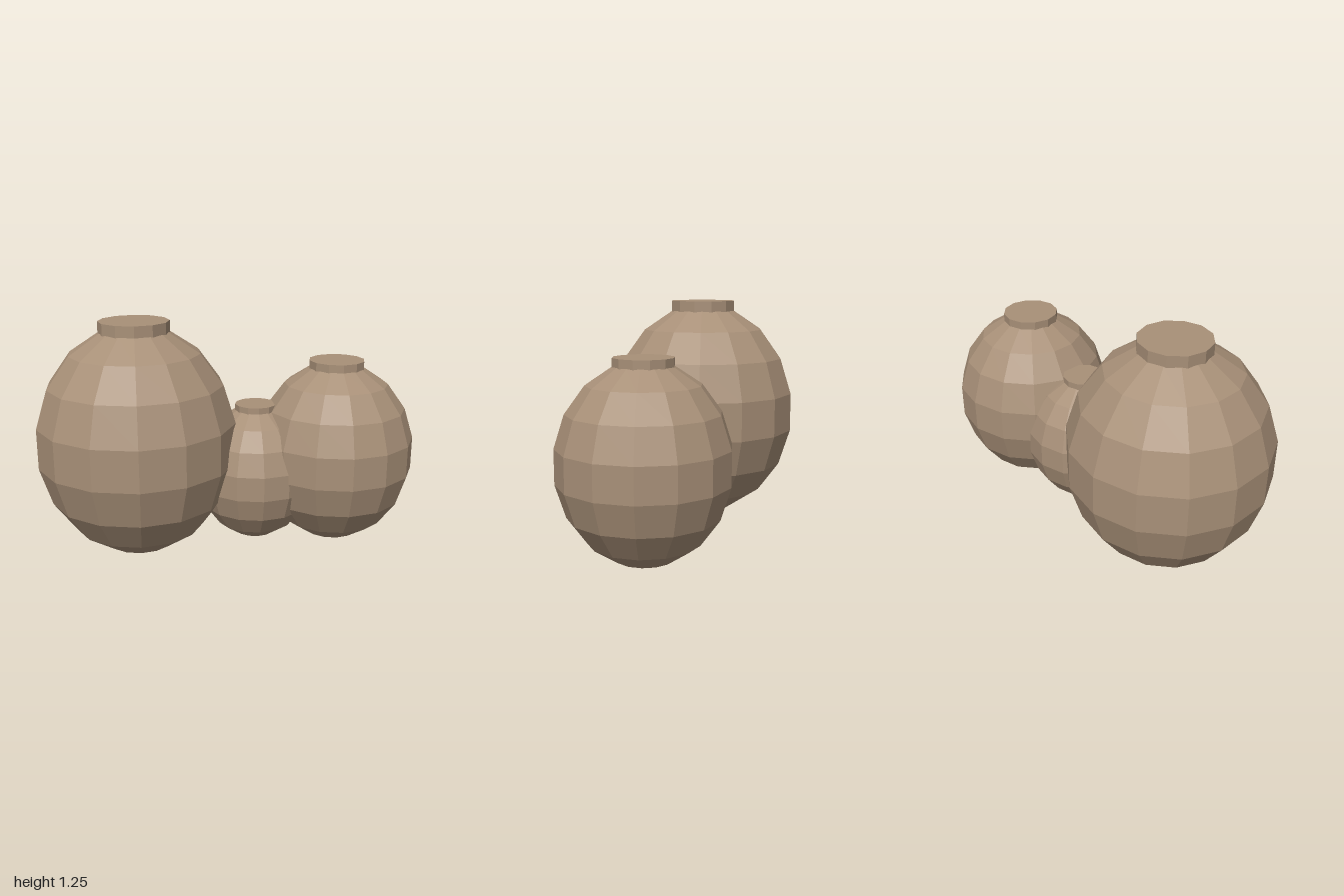
import * as THREE from 'three';

// A cluster of three low-poly jars, each an egg-shaped body with a short neck.
export function createModel() {
  const model = new THREE.Group();
  model.name = 'jarCluster';
  const clay = new THREE.MeshStandardMaterial({ color: 0xa89078, flatShading: true });

  function addJar(name, x, centerY, radius, halfHeight, neckTop) {
    const jar = new THREE.Group();
    jar.name = name;
    jar.position.x = x;

    // Faceted body, turned so that corners point to front and back
    const bodyShape = new THREE.SphereGeometry(1, 14, 9);
    bodyShape.rotateY(Math.PI / 2);
    bodyShape.scale(radius, halfHeight, radius);
    const body = new THREE.Mesh(bodyShape, clay);
    body.name = 'body';
    body.position.y = centerY;

    // Closed neck, sunk a little into the body
    const neckHeight = radius * 0.2;
    const neckRadius = radius * 0.346;
    const neck = new THREE.Mesh(
      new THREE.CylinderGeometry(neckRadius, neckRadius, neckHeight, 12), clay);
    neck.name = 'neck';
    neck.position.y = neckTop - neckHeight / 2;

    jar.add(body, neck);
    model.add(jar);
  }

  addJar('largeJar', -0.486, 0.62, 0.534, 0.616, 1.257);
  addJar('mediumJar', 0.585, 0.521, 0.43, 0.494, 1.027);
  addJar('smallJar', 0.149, 0.42, 0.32, 0.37, 0.8);

  return model;
}
